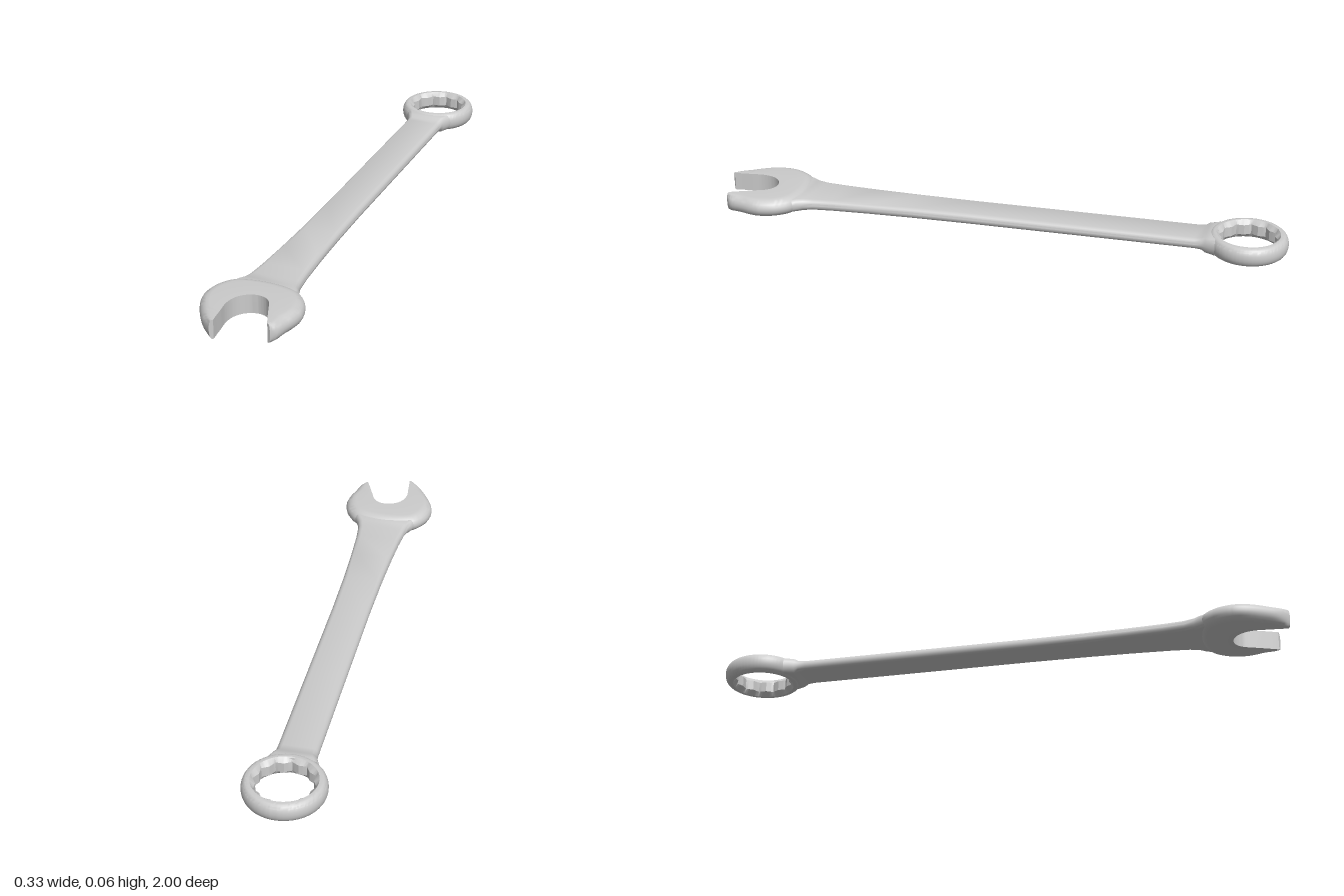
import * as THREE from 'three';
import { toCreasedNormals } from 'three/addons/utils/BufferGeometryUtils.js';

const T = 0.065;      // head thickness
const MID = T / 2;
const AXIS = -0.004;  // x of the shank's centre line

// Skin a row of equal closed cross-sections; cap the ends unless the row is a loop.
function loft(sections, loop, crease) {
  const n = sections[0].length, m = sections.length;
  const index = [];
  for (let i = 0; i < (loop ? m : m - 1); i++) {
    for (let j = 0; j < n; j++) {
      const k = (j + 1) % n, q = ((i + 1) % m) * n;
      const a = i * n + j, b = i * n + k, c = q + k, d = q + j;
      index.push(a, b, d, b, c, d);
    }
  }
  if (!loop) {
    const e = (m - 1) * n;
    for (let j = 1; j < n - 1; j++) index.push(0, j + 1, j, e, e + j, e + j + 1);
  }
  const geometry = new THREE.BufferGeometry();
  geometry.setAttribute('position', new THREE.Float32BufferAttribute(sections.flat(2), 3));
  geometry.setIndex(index);
  return toCreasedNormals(geometry, crease);
}

// Rounded outer edge, bottom to top, as [inset from outer edge, y] pairs.
function roundedEdge(width, steps = 10) {
  return Array.from({ length: steps + 1 }, (_, i) => {
    const a = -Math.PI / 2 + (Math.PI * i) / steps;
    return [width * (1 - Math.cos(a)), MID + MID * Math.sin(a)];
  });
}

// Ring with a twelve-point hole, chamfered at both faces
function boxEnd() {
  const cz = -0.865, R = 0.135, steps = 144, sections = [];
  for (let i = 0; i < steps; i++) {
    const a = (i / steps) * Math.PI * 2, p = Math.PI / 6;
    const off = Math.abs(a - Math.round(a / p) * p);
    const star = (0.1 * Math.cos(p)) / Math.cos(p - off);
    const profile = [
      [star, 0.015], [0.107, 0],
      ...roundedEdge(0.02).map(([inset, y]) => [R - inset, y]),
      [0.107, T], [star, T - 0.015],
    ];
    sections.push(profile.map(([r, y]) => [AXIS + r * Math.cos(a), y, cz + r * Math.sin(a)]));
  }
  return loft(sections, true, 0.5);
}

// C-shaped jaw: outer and inner outlines run from the right tip round to the left tip
function openEnd() {
  const curve = (pts) => new THREE.SplineCurve(pts.map(([x, z]) => new THREE.Vector2(x, z)));
  const outer = curve([
    [-0.062, 1], [-0.1, 0.968], [-0.135, 0.915], [-0.16, 0.86], [-0.166, 0.81], [-0.15, 0.755],
    [-0.105, 0.708], [0, 0.69], [0.097, 0.708], [0.145, 0.755], [0.164, 0.81], [0.163, 0.85],
    [0.15, 0.9], [0.138, 0.938], [0.119, 0.955],
  ]);
  const inner = curve([
    [-0.05, 0.992], [-0.053, 0.965], [-0.056, 0.93], [-0.06, 0.89], [-0.055, 0.855], [-0.04, 0.828],
    [-0.016, 0.81], [0.012, 0.804], [0.04, 0.812], [0.06, 0.833], [0.071, 0.86], [0.081, 0.885],
    [0.091, 0.91], [0.1, 0.932], [0.108, 0.95],
  ]);
  const sections = [], steps = 84;
  for (let i = 0; i <= steps; i++) {
    const o = outer.getPoint(i / steps), q = inner.getPoint(i / steps);
    const d = o.distanceTo(q);
    const at = (inset, y) => {
      const p = o.clone().lerp(q, inset / d);
      return [p.x, y, p.y];
    };
    const edge = roundedEdge(Math.min(0.04, d * 0.6)).map(([inset, y]) => at(inset, y));
    sections.push([at(d, 0), ...edge, at(d, T)]);
  }
  return loft(sections, false, 0.7);
}

// Flat bar with rounded sides, flaring into both heads: [z, half width, half height]
function shank() {
  const stations = [
    [-0.762, 0.088, 0.029], [-0.745, 0.08, 0.029], [-0.728, 0.073, 0.028], [-0.715, 0.068, 0.021],
    [-0.69, 0.067, 0.019], [-0.3, 0.067, 0.019], [0.1, 0.067, 0.019], [0.3, 0.07, 0.019],
    [0.45, 0.075, 0.019], [0.58, 0.082, 0.019], [0.65, 0.089, 0.019], [0.685, 0.097, 0.021],
    [0.705, 0.108, 0.023], [0.73, 0.12, 0.023],
  ];
  const sections = stations.map(([z, hw, hh]) => {
    const section = [], round = 0.018, steps = 8;
    for (const side of [1, -1]) {
      for (let i = 0; i <= steps; i++) {
        const a = -Math.PI / 2 + (Math.PI * i) / steps;
        section.push([
          AXIS + side * (hw - round + round * Math.cos(a)),
          MID + side * hh * Math.sin(a),
          z,
        ]);
      }
    }
    return section;
  });
  return loft(sections, false, 0.7);
}

export function createModel() {
  const group = new THREE.Group();
  group.name = 'combinationWrench';
  const material = new THREE.MeshStandardMaterial({ color: 0xcccccc });
  const parts = { boxEnd: boxEnd(), shank: shank(), openEnd: openEnd() };
  for (const [name, geometry] of Object.entries(parts)) {
    const mesh = new THREE.Mesh(geometry, material);
    mesh.name = name;
    group.add(mesh);
  }
  return group;
}
